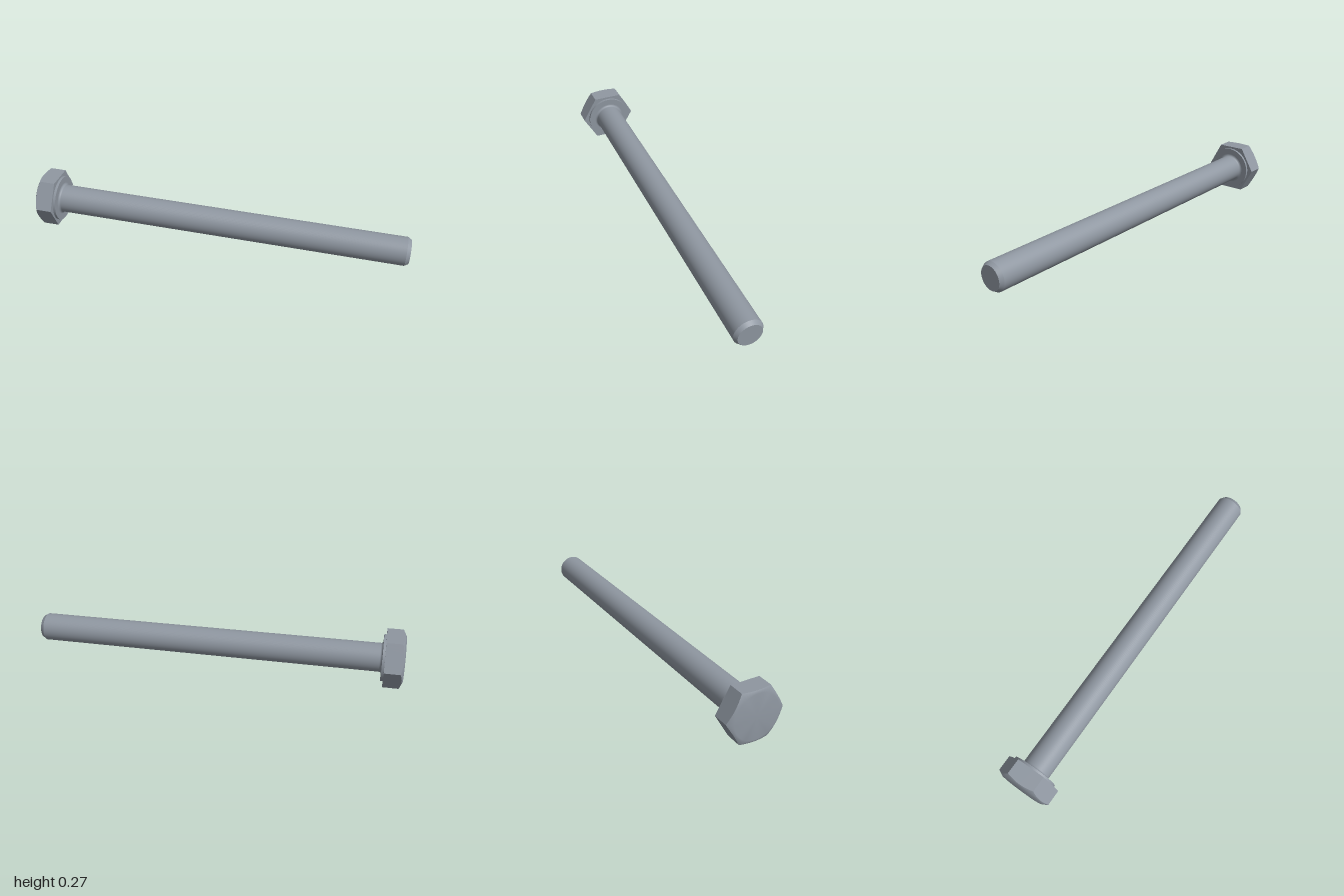
import * as THREE from 'three';
import { mergeGeometries } from 'three/addons/utils/BufferGeometryUtils.js';

const CORNER = 0.154;                     // hex head, centre to corner
const FLAT = CORNER * Math.cos(Math.PI / 6);
const HEAD_H = 0.1;
const LENGTH = 1.907;                     // underside of head to tip
const SHAFT_R = 0.0755;
const STEPS = 10;                         // subdivisions per hex side
const COUNT = 6 * STEPS;

// Lathe built from separate profile runs, so each junction is a crisp edge
function turned(runs) {
  return mergeGeometries(runs.map(run =>
    new THREE.LatheGeometry(run.map(p => new THREE.Vector2(p[0], p[1])), 64)));
}

// Point i on the hexagon outline, at height y
function hexPoint(i, y, radius) {
  const side = Math.floor(i / STEPS) % 6, t = (i % STEPS) / STEPS;
  const a = side * Math.PI / 3, b = a + Math.PI / 3;
  const x = CORNER * (Math.cos(a) * (1 - t) + Math.cos(b) * t);
  const z = -CORNER * (Math.sin(a) * (1 - t) + Math.sin(b) * t);
  const k = radius === undefined ? 1 : radius / Math.hypot(x, z);
  return new THREE.Vector3(x * k, y, z * k);
}

// The conical chamfer lowers the crown most at the corners
function crownPoint(i) {
  const p = hexPoint(i, 0);
  p.y = -HEAD_H + (p.length() - 0.12) * 0.5;
  return p;
}

function fromPoints(points, index) {
  const geo = new THREE.BufferGeometry().setFromPoints(points);
  if (index) geo.setIndex(index);
  geo.computeVertexNormals();
  return geo;
}

// Six flat sides with scalloped upper edges, plus the flat underside
function headSides() {
  const pts = [];
  for (let i = 0; i < COUNT; i++) {
    const a = hexPoint(i, 0), b = hexPoint(i + 1, 0);
    const al = crownPoint(i), bl = crownPoint(i + 1);
    pts.push(al, bl, b, al, b, a);
    pts.push(new THREE.Vector3(), a, b);
  }
  return fromPoints(pts);
}

// Softly shaded crown: centre, inner ring, chamfered rim
function headCrown() {
  const pts = [new THREE.Vector3(0, -HEAD_H, 0)], index = [];
  for (let i = 0; i < COUNT; i++) pts.push(hexPoint(i, -HEAD_H, 0.12));
  for (let i = 0; i < COUNT; i++) pts.push(crownPoint(i));
  for (let i = 0; i < COUNT; i++) {
    const a = 1 + i, b = 1 + (i + 1) % COUNT;
    index.push(0, b, a, a, b, b + COUNT, a, b + COUNT, a + COUNT);
  }
  return fromPoints(pts, index);
}

export function createModel() {
  const steel = new THREE.MeshStandardMaterial({ color: 0x8f97a1 });
  steel.name = 'steel';
  const bolt = new THREE.Group();
  bolt.name = 'hexBolt';
  const add = (name, geo) => {
    const mesh = new THREE.Mesh(geo, steel);
    mesh.name = name;
    bolt.add(mesh);
  };

  add('headSides', headSides());
  add('headCrown', headCrown());

  // Raised bearing ring under the head
  const ringR = 0.122, ringH = 0.013;
  add('washerFace', turned([
    [[ringR, 0], [ringR, ringH]],
    [[ringR, ringH], [SHAFT_R, ringH]],
  ]));

  // Shaft with a small fillet at the head and a chamfered tip
  const fillet = [], f = 0.012;
  for (let i = 0; i <= 5; i++) {
    const a = i / 5 * Math.PI / 2;
    fillet.push([SHAFT_R + f * (1 - Math.sin(a)), ringH + f * (1 - Math.cos(a))]);
  }
  add('shaft', turned([[...fillet, [SHAFT_R, LENGTH - 0.02]]]));
  add('tip', turned([
    [[SHAFT_R, LENGTH - 0.02], [0.063, LENGTH]],
    [[0.063, LENGTH], [0, LENGTH]],
  ]));

  // Lay the bolt down: its axis runs from the head towards the tip
  const axis = new THREE.Vector3(0.978, -0.031, 0.2056).normalize();
  const across = new THREE.Vector3(-axis.z, 0, axis.x).normalize();
  const third = new THREE.Vector3().crossVectors(across, axis);
  bolt.quaternion.setFromRotationMatrix(new THREE.Matrix4().makeBasis(across, axis, third));
  bolt.position.set(-0.88, FLAT + 0.003, -0.147);

  const model = new THREE.Group();
  model.name = 'model';
  model.add(bolt);
  return model;
}
